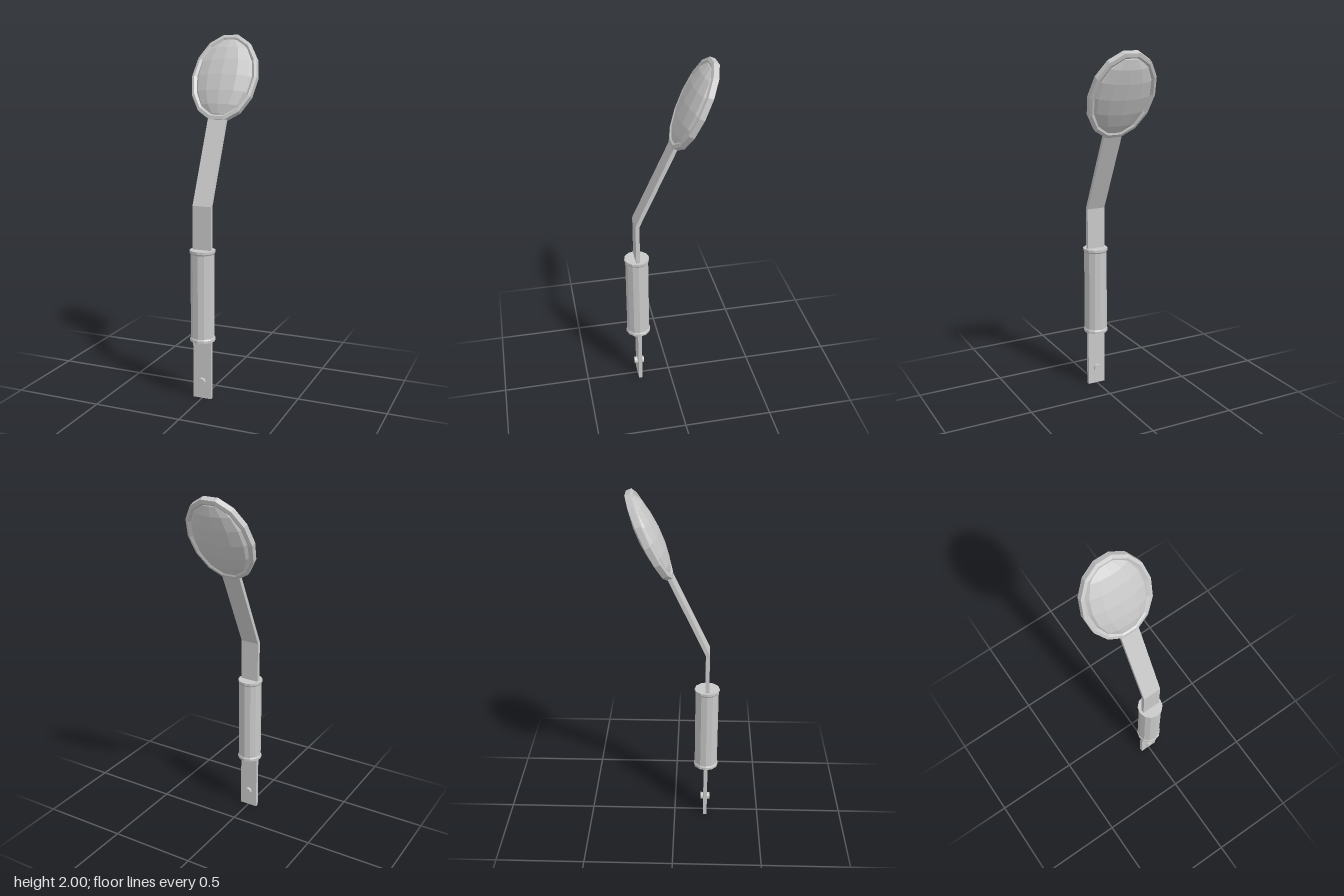
import * as THREE from 'three';

export function createModel() {
  const group = new THREE.Group();
  const metal = new THREE.MeshStandardMaterial({ color: 0xc8c8c8, flatShading: true });
  metal.name = 'greyMetal';

  const add = (parent, name, geometry, x = 0, y = 0, z = 0) => {
    const mesh = new THREE.Mesh(geometry, metal);
    mesh.name = name;
    mesh.position.set(x, y, z);
    parent.add(mesh);
    return mesh;
  };
  const lathe = (points, sides, start = 0) =>
    new THREE.LatheGeometry(points.map(([r, y]) => new THREE.Vector2(r, y)), sides, start);

  const stemZ = 0.183;
  const tilt = THREE.MathUtils.degToRad(25);

  // Flat bar: vertical, then bent backwards; side profile in (z, y)
  const t = 0.011, width = 0.107;
  const bend = 1.09, reach = 0.5;
  const dz = -Math.sin(tilt), dy = Math.cos(tilt);
  const k = t * Math.tan(tilt / 2); // mitre offset at the bend
  const endZ = stemZ + dz * reach, endY = bend + dy * reach;
  const profile = new THREE.Shape([
    [stemZ - t, 0], [stemZ + t, 0], [stemZ + t, bend + k],
    [endZ + t * dy, endY - t * dz], [endZ - t * dy, endY + t * dz],
    [stemZ - t, bend - k],
  ].map(([z, y]) => new THREE.Vector2(z, y)));
  const bar = new THREE.ExtrudeGeometry(profile, { depth: width, bevelEnabled: false });
  bar.rotateY(-Math.PI / 2).translate(width / 2, 0, 0);
  add(group, 'bentBar', bar);

  // Twelve-sided grip with a small flange at each end
  add(group, 'grip', lathe([
    [0, 0.338], [0.071, 0.338], [0.071, 0.352], [0.066, 0.36],
    [0.066, 0.83], [0.071, 0.838], [0.071, 0.852], [0, 0.852],
  ], 12), 0, 0, stemZ);

  // Rivet through the lower end
  const rivet = new THREE.CylinderGeometry(0.021, 0.021, 0.056, 12).rotateX(Math.PI / 2);
  add(group, 'rivet', rivet, 0, 0.1, stemZ);

  // Tilted oval head: raised rim around a lens-shaped body
  const head = new THREE.Group();
  head.name = 'head';
  head.position.set(0, 1.762, -0.131);
  head.rotation.x = -tilt;
  group.add(head);

  const rim = lathe([
    [0.158, -0.008], [0.178, -0.021], [0.193, -0.016],
    [0.193, 0.016], [0.178, 0.021], [0.158, 0.008],
  ], 14, Math.PI / 2);
  rim.rotateX(Math.PI / 2).scale(1, 1.337, 1);
  add(head, 'rim', rim);

  const lens = new THREE.SphereGeometry(1, 12, 8).scale(0.172, 0.237, 0.054);
  add(head, 'lens', lens);

  return group;
}
